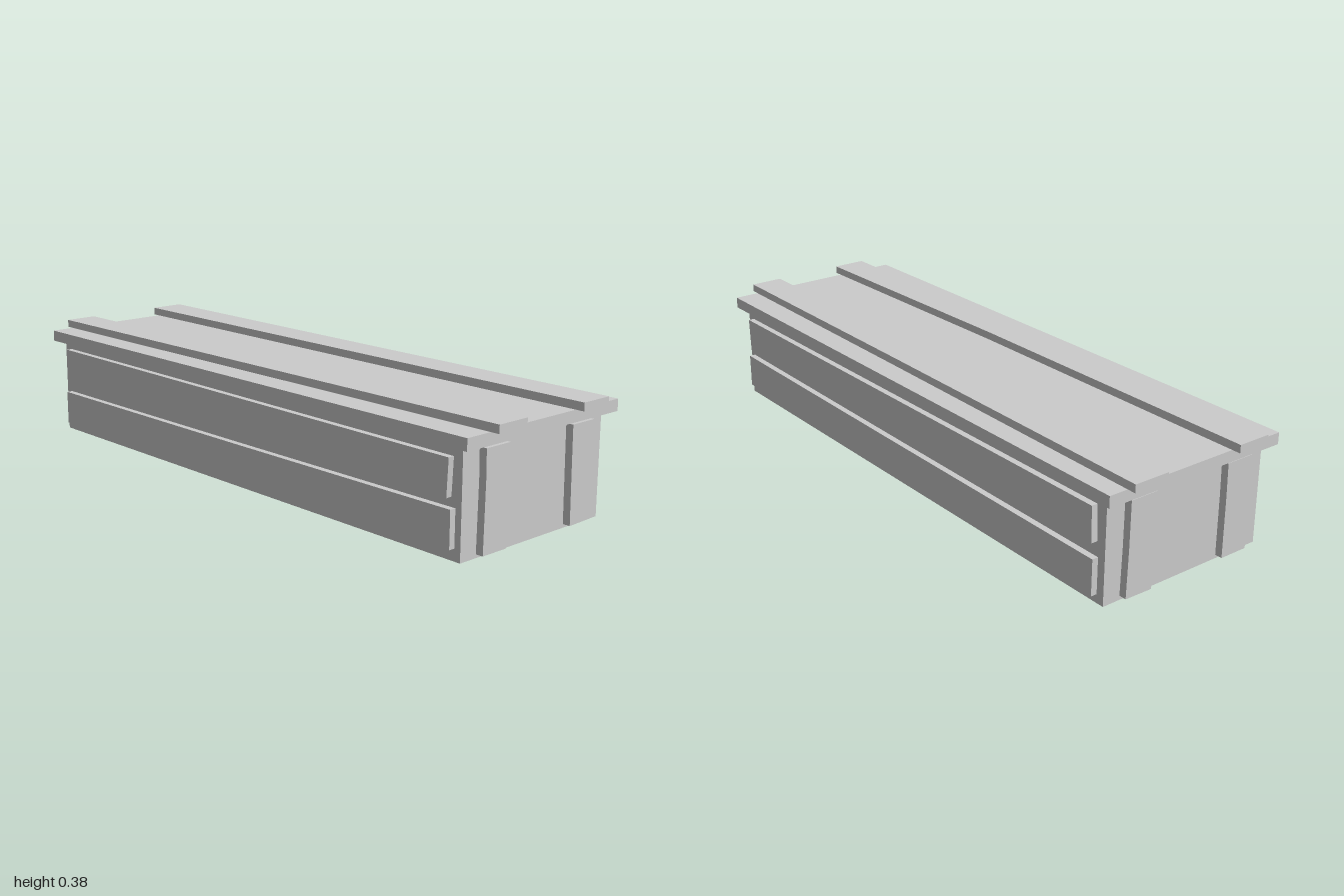
import * as THREE from 'three';

const material = new THREE.MeshStandardMaterial({ color: 0xcccccc, flatShading: true });

export function createModel() {
  const group = new THREE.Group();
  group.name = 'woodenCrate';

  function box(name, w, h, d, y, z = 0) {
    const mesh = new THREE.Mesh(new THREE.BoxGeometry(w, h, d), material);
    mesh.name = name;
    mesh.position.set(0, y + h / 2, z);
    group.add(mesh);
  }

  // Uneven plank: an outline extruded by its thickness, then turned onto a wall
  function plank(name, outline, thickness, rotX, rotY, position) {
    const shape = new THREE.Shape(outline.map(([u, v]) => new THREE.Vector2(u, v)));
    const geometry = new THREE.ExtrudeGeometry(shape, { depth: thickness, bevelEnabled: false });
    geometry.rotateX(rotX).rotateY(rotY);
    const mesh = new THREE.Mesh(geometry, material);
    mesh.name = name;
    mesh.position.set(...position);
    group.add(mesh);
  }

  // Body and overhanging lid
  box('body', 0.584, 0.316, 1.872, 0);
  box('lid', 0.637, 0.036, 1.944, 0.316);

  // Two long planks on the lid, as (x, z)
  const topPlanks = [
    [[-0.24, -1], [-0.13, -1], [-0.132, 0.1], [-0.116, 1], [-0.228, 1], [-0.232, 0.25]],
    [[0.14, -1], [0.257, -1], [0.243, 0.1], [0.235, 1], [0.125, 1], [0.131, 0.15]],
  ];
  for (const outline of topPlanks) {
    plank('lidPlank', outline.map(([x, z]) => [x, -z]), 0.025, -Math.PI / 2, 0, [0, 0.352, 0]);
  }

  // Two long planks on each side, as (z, y)
  const sidePlanks = [
    [[0.905, 0.286], [-0.55, 0.292], [-0.9, 0.293], [-0.905, 0.185], [0.4, 0.176], [0.9, 0.175]],
    [[0.915, 0.147], [0, 0.142], [-0.91, 0.139], [-0.91, 0.027], [0.25, 0.034], [0.915, 0.036]],
  ];
  // Two upright planks on each end, as (x, y)
  const endPlanks = [
    [[-0.228, 0.306], [-0.226, 0.23], [-0.23, 0.011], [-0.135, 0.011], [-0.135, 0.2], [-0.133, 0.306]],
    [[0.133, 0.306], [0.135, 0.2], [0.139, 0.011], [0.233, 0.013], [0.229, 0.16], [0.228, 0.306]],
  ];
  for (const s of [1, -1]) {
    for (const outline of sidePlanks) {
      plank('sidePlank', outline.map(([z, y]) => [-s * z, y]), 0.02, 0, s * Math.PI / 2, [s * 0.292, 0, 0]);
    }
    for (const outline of endPlanks) {
      plank('endPlank', outline.map(([x, y]) => [s * x, y]), 0.024, 0, s > 0 ? 0 : Math.PI, [0, 0, s * 0.936]);
    }
  }
  return group;
}
